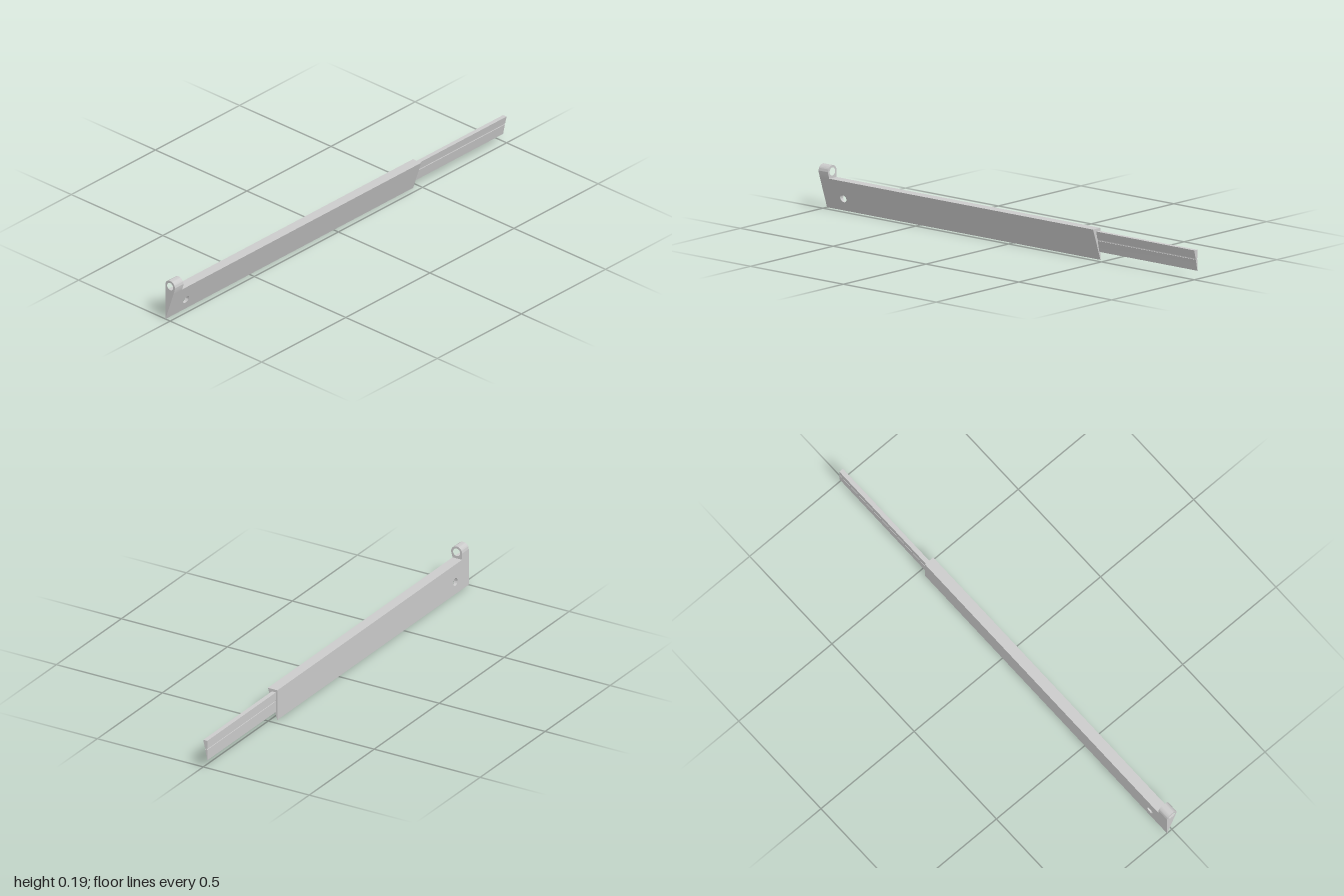
import * as THREE from 'three';
import { toCreasedNormals } from 'three/addons/utils/BufferGeometryUtils.js';

const BACK = -0.026;          // flat back plane
const EYE_Y = 0.159, EYE_R = 0.026, HOLE_R = 0.0165;
const TILT = 2 * Math.atan(EYE_R / EYE_Y); // lean of the front face, tangent to the eye
const TOP = 0.132, BODY_END = 0.472;
const frontZ = (y) => BACK + 0.0006 + y * Math.tan(TILT);

function circleHole(x, y, r) {
  const p = new THREE.Path();
  p.absarc(x, y, r, 0, Math.PI * 2, true);
  return p;
}

// Extrudes a (z, y) profile along x from x0 to x1
function extrudeAlongX(shape, x0, x1) {
  const g = new THREE.ExtrudeGeometry(shape, { depth: x1 - x0, bevelEnabled: false, curveSegments: 32 });
  g.rotateY(-Math.PI / 2);
  g.translate(x1, 0, 0);
  return g;
}

export function createModel() {
  const group = new THREE.Group();
  const material = new THREE.MeshStandardMaterial({ color: 0xcccccc });
  const add = (name, geometry) => {
    const mesh = new THREE.Mesh(toCreasedNormals(geometry, 0.5), material);
    mesh.name = name;
    group.add(mesh);
  };

  // Long wedge body with a cross hole: a plate whose front is leaned back to a sharp lower edge
  const plate = new THREE.Shape();
  plate.moveTo(-1, 0).lineTo(BODY_END, 0).lineTo(BODY_END, TOP).lineTo(-1, TOP).closePath();
  plate.holes.push(circleHole(-0.897, 0.054, HOLE_R));
  const body = new THREE.ExtrudeGeometry(plate, { depth: 1, bevelEnabled: false, curveSegments: 24 });
  const pos = body.attributes.position;
  for (let i = 0; i < pos.count; i++) {
    pos.setZ(i, pos.getZ(i) > 0.5 ? frontZ(pos.getY(i)) : BACK);
  }
  add('wedgeBody', body);

  // Hinge eye standing on the left end of the body
  const eye = new THREE.Shape();
  eye.moveTo(BACK, TOP).lineTo(BACK, EYE_Y);
  eye.absarc(0, EYE_Y, EYE_R, Math.PI, -TILT, true);
  eye.lineTo(frontZ(TOP), TOP).closePath();
  eye.holes.push(circleHole(0, EYE_Y, HOLE_R));
  add('hingeEye', extrudeAlongX(eye, -1, -0.949));

  // Tapered sliding bar, grooved lengthwise on both faces
  const bar = new THREE.Shape([
    [0, 0.121], [-0.019, 0.121], [-0.019, 0.086], [-0.0155, 0.086], [-0.0155, 0.081],
    [-0.019, 0.081], [-0.019, 0.034], [-0.009, 0.081], [-0.012, 0.081], [-0.012, 0.086], [-0.008, 0.086],
  ].map(([z, y]) => new THREE.Vector2(z, y)));
  add('slidingBar', extrudeAlongX(bar, BODY_END - 0.01, 1));

  return group;
}
